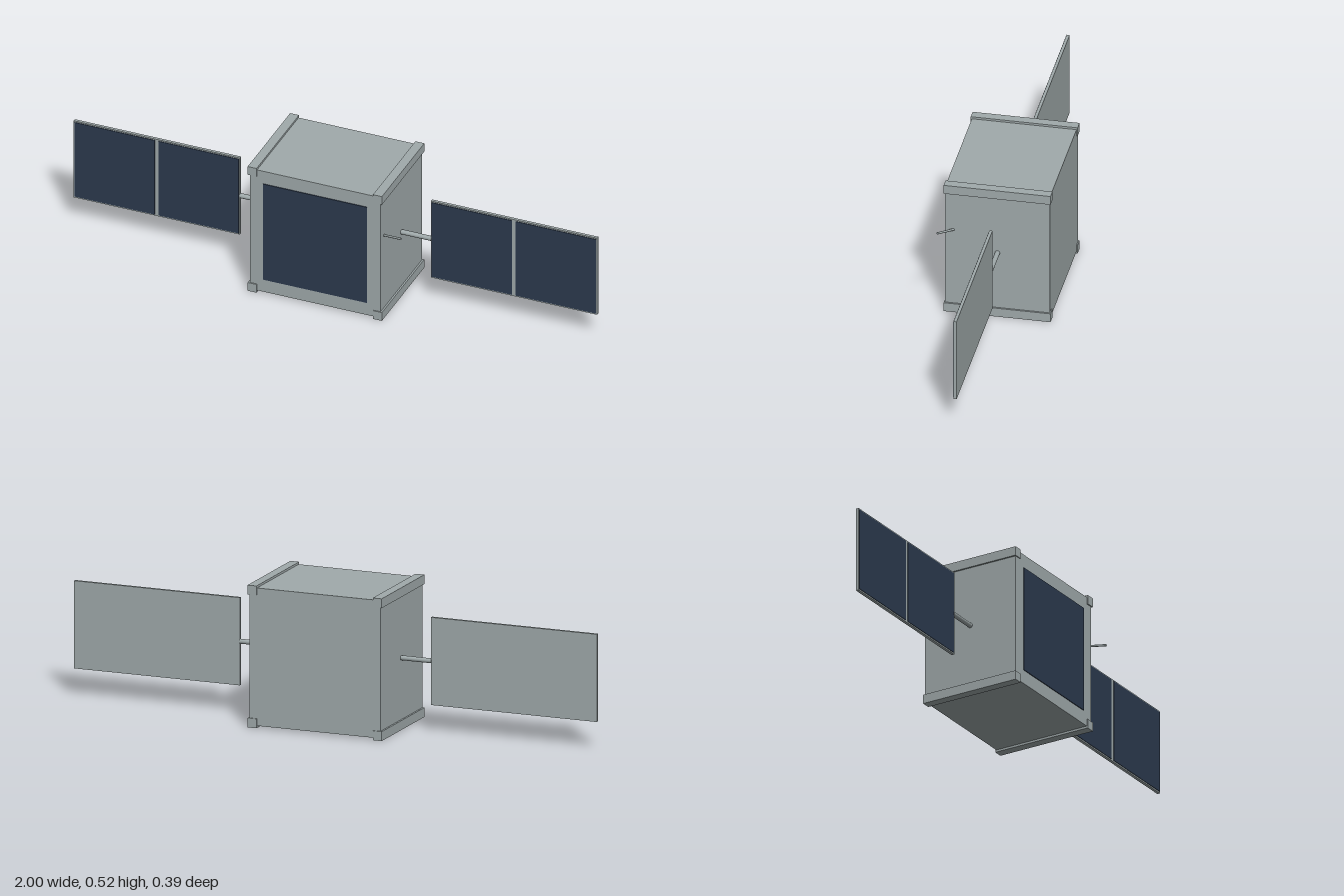
import * as THREE from 'three';

export function createModel() {
  const model = new THREE.Group();
  model.name = 'satellite';

  const metal = new THREE.MeshStandardMaterial({ color: 0xa0aaab });
  metal.name = 'grey metal';
  const cell = new THREE.MeshStandardMaterial({ color: 0x2c3a4e });
  cell.name = 'navy solar cell';

  const Y = 0.258, Z = -0.005; // centre of the body

  function box(name, w, h, d, x, y, z, material = metal) {
    const mesh = new THREE.Mesh(new THREE.BoxGeometry(w, h, d), material);
    mesh.name = name;
    mesh.position.set(x, y, z);
    model.add(mesh);
  }

  // Round rod between two points
  function rod(name, from, to, radius) {
    const a = new THREE.Vector3(...from), b = new THREE.Vector3(...to);
    const axis = b.clone().sub(a);
    const mesh = new THREE.Mesh(new THREE.CylinderGeometry(radius, radius, axis.length(), 12), metal);
    mesh.name = name;
    mesh.position.copy(a).add(b).multiplyScalar(0.5);
    mesh.quaternion.setFromUnitVectors(new THREE.Vector3(0, 1, 0), axis.normalize());
    model.add(mesh);
  }

  // Body with its front solar cell
  box('body', 0.5, 0.5, 0.376, 0, Y, Z);
  box('frontSolarCell', 0.397, 0.397, 0.004, 0, Y, 0.184, cell);

  for (const side of [-1, 1]) {
    const label = side > 0 ? 'left' : 'right';

    // Corner rails running front to back
    for (const v of [-1, 1]) {
      box(label + (v > 0 ? 'TopRail' : 'BottomRail'), 0.034, 0.034, 0.384, side * 0.2395, Y + v * 0.241, Z);
    }

    // Wing: boom, panel and two cells on its front
    rod(label + 'Boom', [side * 0.24, Y, Z], [side * 0.367, Y, Z], 0.009);
    box(label + 'Panel', 0.635, 0.318, 0.011, side * 0.6825, Y, Z);
    for (const s of [-1, 1]) {
      box(label + (s * side > 0 ? 'CellLeft' : 'CellRight'), 0.306, 0.308, 0.003,
        side * 0.6825 + s * 0.1605, Y, Z + 0.006, cell);
    }
  }

  // Slanted antenna on the left side
  rod('antenna', [0.235, 0.33, 0.146], [0.333, 0.363, 0.194], 0.004);

  return model;
}
